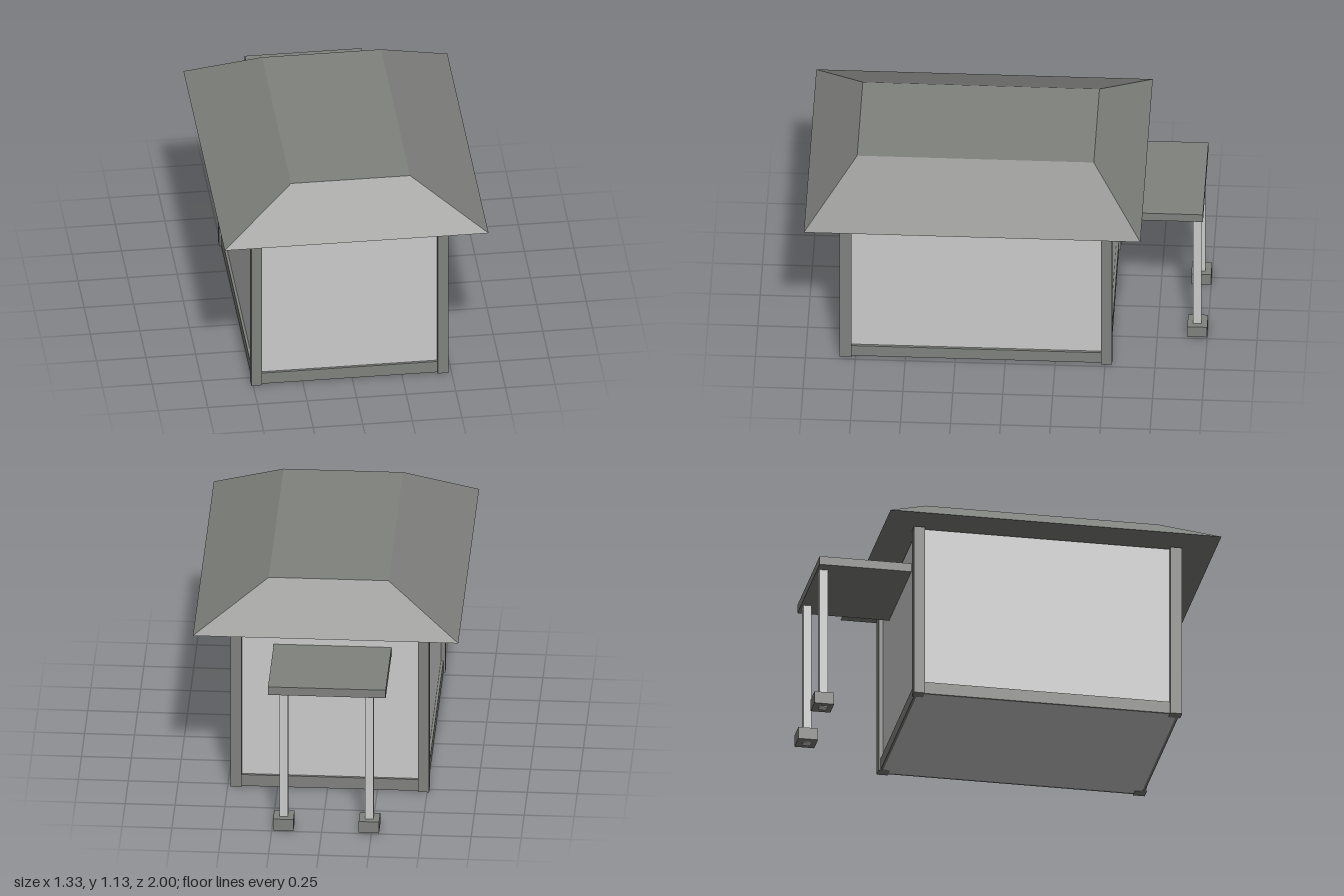
import * as THREE from 'three';

export function createModel() {
  const model = new THREE.Group();
  const trim = new THREE.MeshStandardMaterial({ color: 0x80827e });
  trim.name = 'grey trim';
  const plaster = new THREE.MeshStandardMaterial({ color: 0xcacaca });
  plaster.name = 'pale plaster';

  // box given by its low and high corners
  function block(name, material, [x0, y0, z0], [x1, y1, z1]) {
    const geometry = new THREE.BoxGeometry(x1 - x0, y1 - y0, z1 - z0);
    geometry.translate((x0 + x1) / 2, (y0 + y1) / 2, (z0 + z1) / 2);
    const mesh = new THREE.Mesh(geometry, material);
    mesh.name = name;
    model.add(mesh);
    return mesh;
  }

  const ground = 0.004, wallTop = 0.915;
  const left = -0.487, right = 0.462, back = -0.513, front = 0.807; // wall faces

  // walls and floor
  block('walls', plaster, [left, ground, back], [right, wallTop, front]);

  // corner posts, standing proud of the walls
  for (const [x0, x1] of [[-0.51, -0.455], [0.43, 0.485]])
    for (const [z0, z1] of [[-0.535, -0.48], [0.77, 0.83]])
      block('cornerPost', trim, [x0, 0.002, z0], [x1, wallTop + 0.002, z1]);

  // base beams between the posts
  const t = 0.013, beamTop = 0.067;
  block('baseBeamFront', trim, [-0.455, ground, front], [0.43, beamTop, front + t]);
  block('baseBeamBack', trim, [-0.455, ground, back - t], [0.43, beamTop, back]);
  block('baseBeamRight', trim, [left - t, ground, -0.48], [left, beamTop, 0.77]);
  block('baseBeamLeft', trim, [right, ground, -0.48], [right + t, beamTop, 0.77]);

  // hipped roof with a flat top: a box with its upper corners pulled in
  const roof = block('roof', trim, [-0.665, 0.923, -0.685], [0.665, 1.135, 1]);
  const p = roof.geometry.attributes.position;
  for (let i = 0; i < p.count; i++) {
    if (p.getY(i) < 1) continue;
    p.setX(i, Math.sign(p.getX(i)) * 0.3);
    p.setZ(i, p.getZ(i) > 0 ? 0.75 : -0.435);
  }
  roof.geometry.computeVertexNormals();

  // back canopy on two posts with footings
  block('canopy', trim, [-0.32, 0.755, -0.98], [0.27, 0.8, back]);
  for (const x of [-0.237, 0.192]) {
    block('canopyPost', plaster, [x - 0.021, 0, -0.969], [x + 0.021, 0.755, -0.927]);
    block('footing', trim, [x - 0.051, ground, -1], [x + 0.051, 0.067, -0.9]);
  }

  return model;
}
